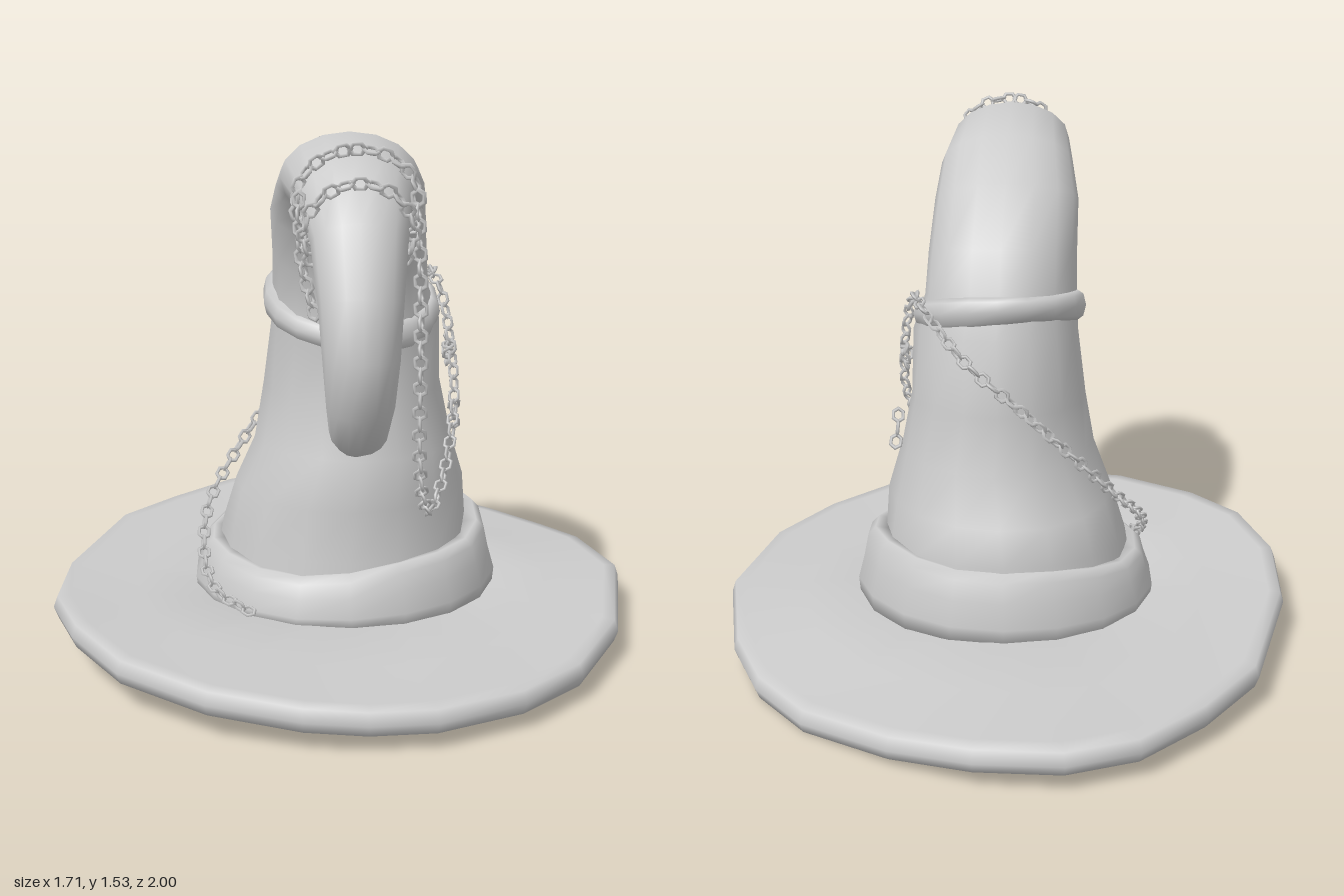
import * as THREE from 'three';
import { mergeGeometries } from 'three/addons/utils/BufferGeometryUtils.js';

const V = (x, y, z) => new THREE.Vector3(x, y, z);
const felt = new THREE.MeshStandardMaterial({ color: 0xcccccc, side: THREE.DoubleSide });
felt.name = 'lightGrey';

// Skin a list of equal-length rings; optionally join the last ring to the first.
function loft(rings, closed = false, cap = false) {
  const n = rings[0].length, pos = [], idx = [];
  rings.forEach((r) => r.forEach((p) => pos.push(p.x, p.y, p.z)));
  const rows = closed ? rings.length : rings.length - 1;
  for (let j = 0; j < rows; j++) {
    const k = (j + 1) % rings.length;
    for (let i = 0; i < n; i++) {
      const a = j * n + i, b = j * n + (i + 1) % n, c = k * n + i, d = k * n + (i + 1) % n;
      idx.push(a, b, d, a, d, c);
    }
  }
  if (cap) {
    const base = (rings.length - 1) * n;
    for (let i = 1; i < n - 1; i++) idx.push(base, base + i, base + i + 1);
  }
  const g = new THREE.BufferGeometry();
  g.setAttribute('position', new THREE.Float32BufferAttribute(pos, 3));
  g.setIndex(idx);
  g.computeVertexNormals();
  return g;
}

// Points round an opening, starting at the front and turning towards +x.
const around = (n, fn) => Array.from({ length: n }, (_, i) => fn((i / n) * Math.PI * 2));

// Crown sections: inner/front z, y; outer/back z, y; half width; x shift.
const CROWN = [
  [.41, .10, -.37, .12, .40, 0], [.385, .30, -.35, .34, .365, 0], [.37, .45, -.33, .45, .34, .01],
  [.37, .60, -.24, .58, .29, .03], [.31, .74, -.24, .76, .26, .02], [.325, .90, -.20, .98, .245, .025],
  [.315, .98, -.15, 1.1, .225, .015], [.33, 1.1, -.10, 1.22, .22, .01], [.38, 1.22, .08, 1.37, .215, 0],
  [.43, 1.28, .27, 1.48, .20, 0], [.53, 1.31, .50, 1.54, .18, -.01], [.62, 1.30, .72, 1.48, .145, -.005],
  [.72, 1.24, .88, 1.37, .12, 0], [.79, 1.14, .97, 1.20, .105, 0], [.81, 1.02, 1.0, 1.05, .095, 0],
  [.78, .92, .97, .90, .085, 0], [.70, .86, .86, .78, .075, 0], [.61, .835, .67, .715, .062, 0],
  [.55, .87, .52, .78, .046, 0], [.525, .92, .465, .88, .034, 0], [.54, .96, .475, .96, .024, 0],
  [.575, .985, .57, 1.01, .01, 0],
];

// Brim outline: x, z and height of the rim centre.
const RIM = [
  [.02, .96, .09], [.2, .95, .09], [.44, .84, .085], [.62, .67, .08], [.77, .4, .09], [.85, 0, .10],
  [.79, -.33, .07], [.7, -.52, .045], [.55, -.7, .04], [.3, -.87, .06], [.07, -.98, .09], [-.17, -1, .095],
  [-.37, -.92, .09], [-.56, -.74, .09], [-.72, -.53, .10], [-.85, -.07, .11], [-.86, .23, .125],
  [-.78, .48, .14], [-.64, .69, .125], [-.4, .87, .115], [-.15, .95, .10],
];

// Brim profile: blend from hole (0) to rim (1), height offset.
const BRIM_PROFILE = [
  [0, -.03], [.5, -.03], [.9, -.04], [.975, -.033], [1, 0], [.975, .033], [.9, .035], [.5, .025], [0, .03],
];

// Chain: little faceted rings turned alternately along a curve.
function chain(name, points, closed = false) {
  const curve = new THREE.CatmullRomCurve3(points.map((p) => V(...p)), closed);
  const n = Math.max(2, Math.round(curve.getLength() / .036));
  const links = [];
  for (let i = 0; i < n + (closed ? 0 : 1); i++) {
    const u = i / n, t = curve.getTangentAt(u);
    const q = new THREE.Quaternion().setFromUnitVectors(V(1, 0, 0), t);
    q.multiply(new THREE.Quaternion().setFromAxisAngle(V(1, 0, 0), (i % 2) * Math.PI / 2 + .4));
    const link = new THREE.TorusGeometry(.017, .0055, 4, 6);
    link.scale(1.2, 1, 1).applyQuaternion(q);
    const p = curve.getPointAt(u);
    links.push(link.translate(p.x, p.y, p.z));
  }
  const mesh = new THREE.Mesh(mergeGeometries(links), felt);
  mesh.name = name;
  return mesh;
}

export function createModel() {
  const hat = new THREE.Group();
  hat.name = 'pointedHat';
  const add = (name, geometry) => {
    const mesh = new THREE.Mesh(geometry, felt);
    mesh.name = name;
    hat.add(mesh);
  };

  // Crown with its curled tip, slightly crumpled near the bottom
  add('crown', loft(CROWN.map(([fz, fy, bz, by, w, xc], j) => around(16, (t) => {
    const c = Math.cos(t), s = Math.sin(t);
    const fold = j > 1 && j < 6 ? 1 + .025 * Math.sin(3 * t + j * 2) * Math.abs(s) : 1;
    return V(xc + w * s * fold, (fy + by) / 2 + (fy - by) / 2 * c, (fz + bz) / 2 + (fz - bz) / 2 * c * fold);
  })), false, true));

  // Wavy brim with an open middle
  add('brim', loft(BRIM_PROFILE.map(([k, dy]) => RIM.map(([x, z, y]) => {
    const a = Math.atan2(x, z);
    const hx = .39 * Math.sin(a), hz = .02 + .37 * Math.cos(a);
    return V(hx + (x - hx) * k, .105 + (y - .105) * k + dy, hz + (z - hz) * k);
  })), true));

  // Thick folded band at the foot of the crown: radius offset, height fraction
  const bandProfile = [[-.06, 0], [.015, 0], [.02, .25], [0, .6], [-.012, .88], [-.035, 1], [-.08, .97]];
  add('band', loft(bandProfile.map(([dr, h]) => around(18, (t) => {
    const s = Math.sin(t), c = Math.cos(t);
    const x = (.435 + dr) * s, z = .02 + (.405 + dr) * c;
    const top = .305 + .07 * x - .07 * z + .008 * Math.sin(4 * t);
    return V(x, .12 + (top - .12) * h, z);
  })), true));

  // Tilted rolled collar halfway up
  add('collar', loft(Array.from({ length: 8 }, (_, j) => {
    const v = j / 8 * Math.PI * 2 - Math.PI / 2;
    return around(18, (t) => {
      const s = Math.sin(t), c = Math.cos(t), out = .026 * Math.cos(v);
      const x = .018 + (.232 + out) * s, z = .065 + (.24 + out) * c;
      const fat = .042 + .005 * Math.sin(3 * t);
      return V(x, 1.0 - .25 * (z - .065) - .06 * x + fat * Math.sin(v), z);
    });
  }), true));

  // Two chain loops wrapped round the curl
  const loop = (y, z, ay, az, w) => around(12, (t) =>
    [w * Math.sin(t), y + ay * Math.cos(t), z + az * Math.cos(t)]);
  hat.add(chain('upperChainLoop', loop(1.39, .70, .13, -.01, .155), true));
  hat.add(chain('lowerChainLoop', loop(1.32, .77, .135, .055, .135), true));
  hat.add(chain('shortChainEnd', [[-.145, 1.4, .72], [-.14, 1.25, .73], [-.11, 1.12, .74]]));

  // Chain hanging from the curl up to the collar
  hat.add(chain('hangingChain', [
    [.15, 1.4, .71], [.16, 1.2, .70], [.165, .92, .68], [.17, .72, .62], [.19, .55, .52], [.22, .48, .43],
    [.27, .55, .31], [.31, .72, .17], [.305, .88, .10], [.28, 1.02, .03], [.26, 1.06, -.03],
  ]));
  // Chain going round the back and down to the band
  hat.add(chain('backChain', [
    [.26, 1.06, -.03], [.22, 1.03, -.12], [.11, .92, -.22], [-.05, .79, -.26], [-.2, .64, -.23],
    [-.33, .48, -.12], [-.41, .36, .02], [-.42, .25, .16], [-.38, .19, .29], [-.29, .16, .37],
  ]));
  // Loose scraps of chain on the side
  hat.add(chain('sideChainKnot', [[.3, .82, .08], [.3, .87, .05], [.3, .86, .11]], true));
  hat.add(chain('sideChainScrap', [[.325, .67, .04], [.325, .64, .02], [.33, .60, 0]]));

  return hat;
}
